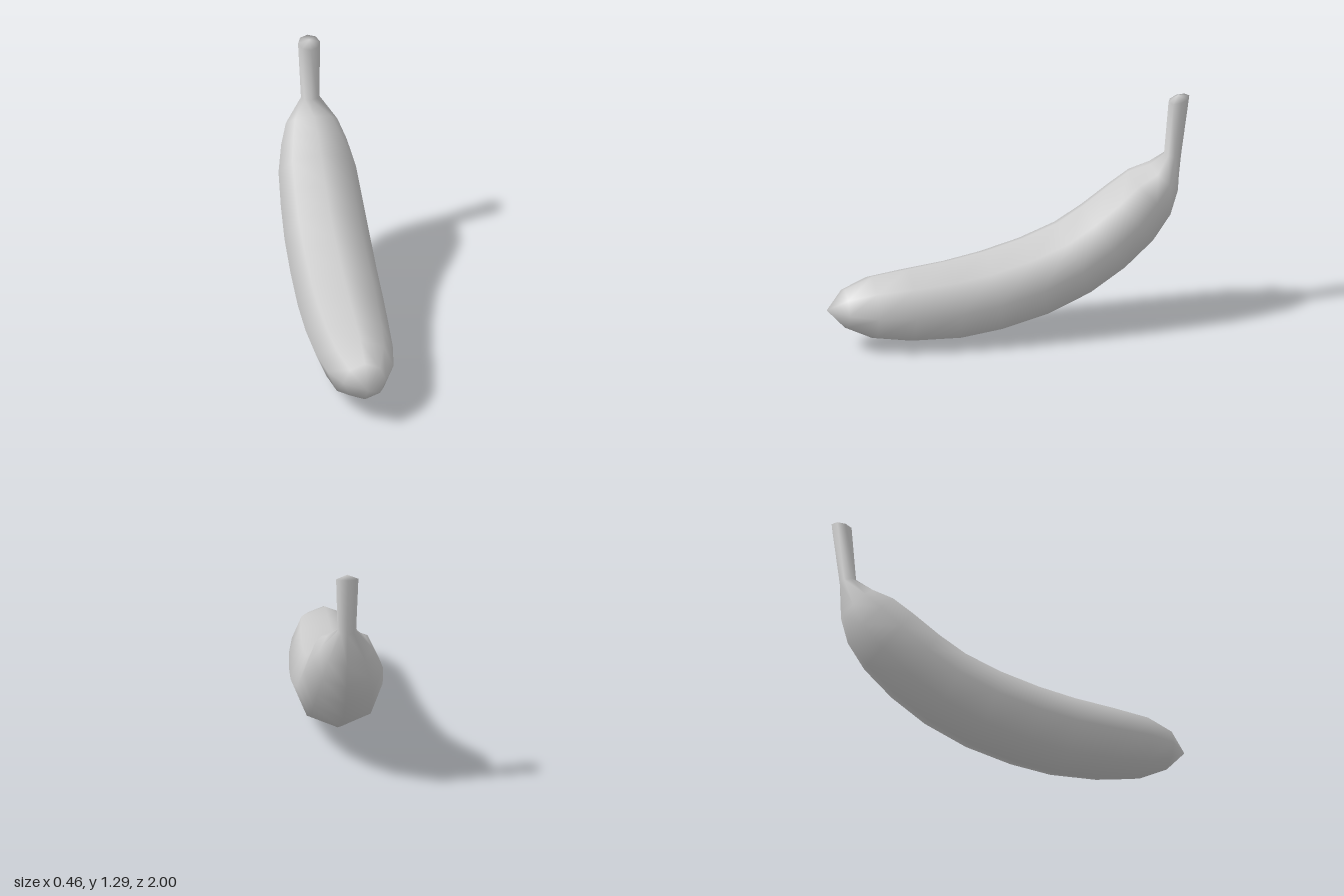
import * as THREE from 'three';

const SIDES = 8;

// Rings from blossom end to stem: [inner z, inner y, outer z, outer y, half width]
const RINGS = [
  [0.9, 0.345, 0.9, 0.125, 0.115],
  [0.75, 0.405, 0.75, 0.05, 0.18],
  [0.55, 0.43, 0.55, 0.015, 0.21],
  [0.33, 0.455, 0.29, 0.005, 0.225],
  [0.13, 0.49, 0.06, 0.035, 0.232],
  [-0.08, 0.545, -0.2, 0.1, 0.232],
  [-0.27, 0.615, -0.44, 0.205, 0.23],
  [-0.41, 0.7, -0.64, 0.335, 0.222],
  [-0.55, 0.8, -0.8, 0.48, 0.21],
  [-0.66, 0.875, -0.9, 0.62, 0.178],
  [-0.78, 0.905, -0.935, 0.76, 0.14],
  [-0.86, 0.96, -0.955, 0.95, 0.05],
  [-0.885, 1.255, -1.0, 1.285, 0.06],
];
const TIP = [0, 0.235, 1];
const STEM_END = [0, 1.292, -0.935];

// Skin the octagonal rings and close both ends with a point
function skinRings() {
  const positions = [];
  const index = [];
  for (const [iz, iy, oz, oy, w] of RINGS) {
    for (let j = 0; j < SIDES; j++) {
      const a = (j / SIDES) * Math.PI * 2;
      const t = (1 - Math.cos(a)) / 2; // 0 on the inner curve, 1 on the outer
      positions.push(w * Math.sin(a), iy + (oy - iy) * t, iz + (oz - iz) * t);
    }
  }
  const tip = RINGS.length * SIDES;
  positions.push(...TIP, ...STEM_END);

  const last = (RINGS.length - 1) * SIDES;
  for (let j = 0; j < SIDES; j++) {
    const k = (j + 1) % SIDES;
    for (let r = 0; r < last; r += SIDES) {
      index.push(r + j, r + k, r + SIDES + j);
      index.push(r + k, r + SIDES + k, r + SIDES + j);
    }
    index.push(tip, k, j);
    index.push(tip + 1, last + j, last + k);
  }

  const geometry = new THREE.BufferGeometry();
  geometry.setAttribute('position', new THREE.Float32BufferAttribute(positions, 3));
  geometry.setIndex(index);
  geometry.computeVertexNormals();
  return geometry;
}

export function createModel() {
  const group = new THREE.Group();
  group.name = 'banana';
  // Peel and stem form one continuous smooth skin
  const peel = new THREE.Mesh(skinRings(), new THREE.MeshStandardMaterial({ color: 0xcccccc }));
  peel.name = 'peelAndStem';
  group.add(peel);
  return group;
}
